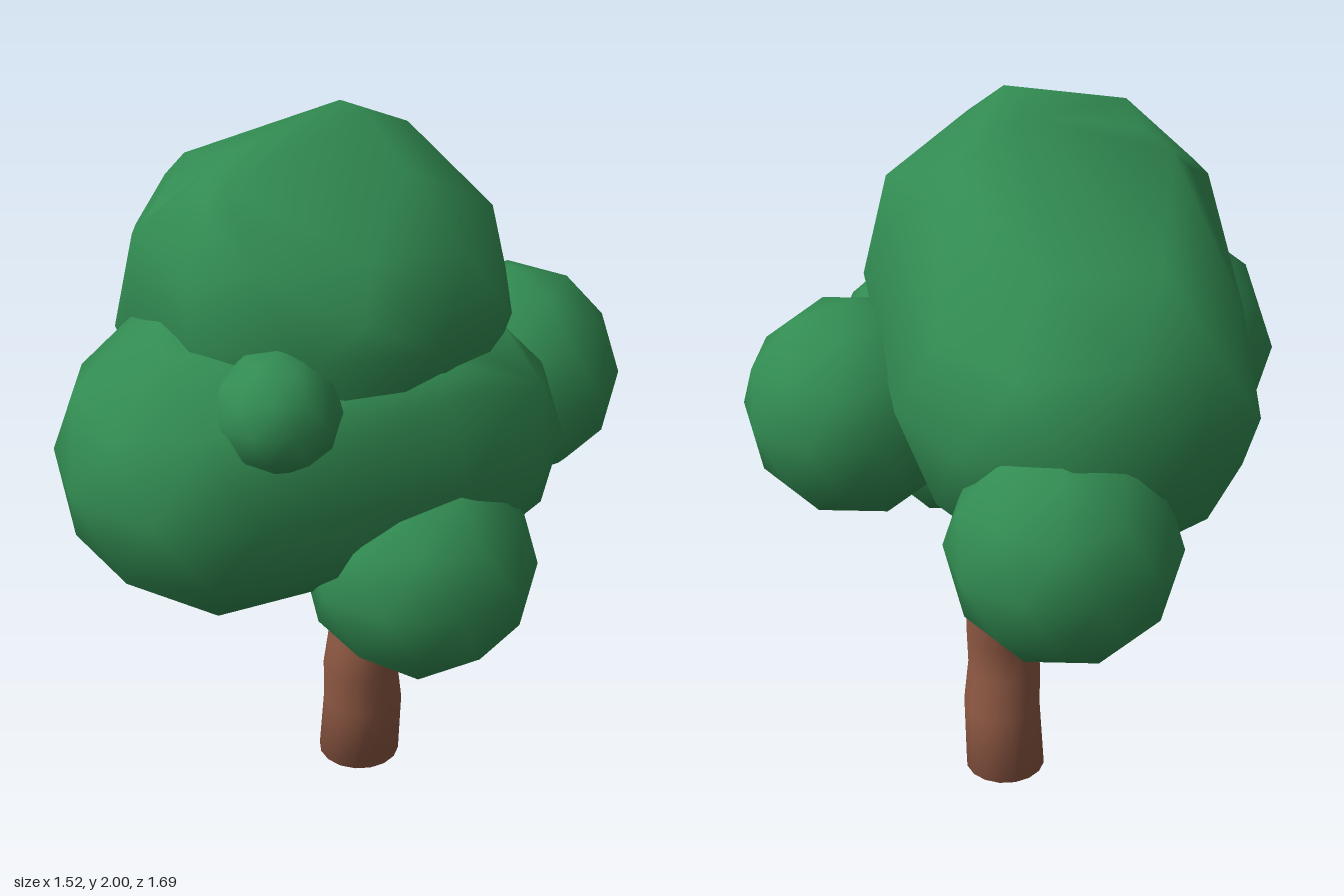
import * as THREE from 'three';
import { mergeVertices } from 'three/addons/utils/BufferGeometryUtils.js';
import { ConvexGeometry } from 'three/addons/geometries/ConvexGeometry.js';

const leaf = new THREE.MeshStandardMaterial({ color: 0x328c52 });
const bark = new THREE.MeshStandardMaterial({ color: 0x8e5843 });

// Weld corners so that normals are smooth
function smooth(geo) {
  geo.deleteAttribute('uv');
  geo.deleteAttribute('normal');
  const welded = mergeVertices(geo, 1e-4);
  welded.computeVertexNormals();
  return welded;
}

// Coarse ball with a vertex at each pole
function ball(radii, center, yaw = 0) {
  return new THREE.IcosahedronGeometry(1, 1)
    .rotateZ(-Math.atan(2 / (1 + Math.sqrt(5))))
    .rotateY(yaw)
    .scale(...radii)
    .translate(...center);
}

// Small lump that fills out a corner of a skin
const lump = (r, center) => new THREE.OctahedronGeometry(r).translate(...center);

// Skin stretched over several balls and lumps
function stretched(parts) {
  const points = [];
  for (const b of parts) {
    const p = b.attributes.position;
    for (let i = 0; i < p.count; i++) points.push(new THREE.Vector3().fromBufferAttribute(p, i));
  }
  return smooth(new ConvexGeometry(points));
}

// Limb through rings of [x, y, z, radius], with closed ends
function limb(rings, sides) {
  const geo = new THREE.CylinderGeometry(1, 1, 1, sides, rings.length - 1);
  const p = geo.attributes.position;
  for (let i = 0; i < p.count; i++) {
    const k = Math.round((p.getY(i) + 0.5) * (rings.length - 1));
    const [x, y, z, r] = rings[k];
    p.setXYZ(i, x + p.getX(i) * r, y, z + p.getZ(i) * r);
  }
  return smooth(geo);
}

// Thin branch along straight pieces
function branch(points, radius) {
  const path = new THREE.CurvePath();
  const v = points.map((q) => new THREE.Vector3(...q));
  for (let i = 1; i < v.length; i++) path.add(new THREE.LineCurve3(v[i - 1], v[i]));
  return new THREE.TubeGeometry(path, 10, radius, 8);
}

export function createModel() {
  const tree = new THREE.Group();
  tree.name = 'tree';
  const add = (name, geo, mat) => {
    const mesh = new THREE.Mesh(geo, mat);
    mesh.name = name;
    tree.add(mesh);
  };

  // Bent, tapering trunk
  add('trunk', limb([
    [0.085, 0, 0.055, 0.117],
    [0.087, 0.2, 0.08, 0.113],
    [0.075, 0.32, 0.095, 0.107],
    [0.082, 0.42, 0.1, 0.102],
    [0.1, 0.66, 0.075, 0.092],
    [0.1, 0.98, 0.06, 0.084],
  ], 16), bark);

  // Branches reaching into the foliage
  add('frontBranch', branch([[0.09, 0.67, 0.1], [0.088, 0.67, 0.23], [0.085, 0.76, 0.45]], 0.025), bark);
  add('backBranch', branch([[0.09, 0.81, 0.05], [0.02, 0.81, -0.11], [-0.32, 1.0, -0.25]], 0.025), bark);
  add('sideBranch', branch([[0.09, 0.88, 0.07], [0.07, 0.9, 0.15], [-0.1, 1.0, 0.3]], 0.025), bark);

  // Large crown, sloping down to the back
  const q = Math.PI / 2;
  add('crown', stretched([
    ball([0.49, 0.42, 0.48], [-0.07, 1.54, 0.2], q),
    ball([0.48, 0.45, 0.47], [-0.05, 1.32, -0.215], -q),
    lump(0.05, [0.02, 1.95, 0.25]),
    lump(0.05, [0.02, 1.92, 0.05]),
    lump(0.05, [0.22, 1.83, -0.02]),
    lump(0.05, [-0.33, 1.88, 0.29]),
    lump(0.05, [-0.37, 1.81, 0.02]),
    lump(0.05, [-0.49, 1.73, 0.2]),
    lump(0.05, [-0.35, 1.84, 0.4]),
    lump(0.06, [-0.4, 1.69, 0.42]),
    lump(0.05, [-0.1, 1.63, 0.61]),
  ]), leaf);

  // Wide foliage mass across the front
  add('frontFoliage', stretched([
    ball([0.42, 0.4, 0.42], [-0.365, 1.19, 0.335]),
    ball([0.35, 0.335, 0.34], [0.157, 1.185, 0.355]),
    lump(0.07, [0.1, 1.42, 0.6]),
    lump(0.07, [-0.08, 1.41, 0.6]),
    lump(0.05, [0.34, 1.42, 0.4]),
    lump(0.05, [-0.51, 1.51, 0.35]),
    lump(0.05, [-0.5, 1.2, -0.07]),
  ]), leaf);

  // Round clumps: name, radius, centre
  const clumps = [
    ['frontClump', 0.295, [0.085, 0.922, 0.548]],
    ['leftClump', 0.3, [0.475, 1.205, 0.11]],
    ['backClump', 0.297, [0.087, 1.065, -0.548]],
    ['smallClump', 0.152, [-0.295, 1.42, 0.615]],
  ];
  for (const [name, r, c] of clumps) add(name, smooth(ball([r, r, r], c)), leaf);

  return tree;
}
